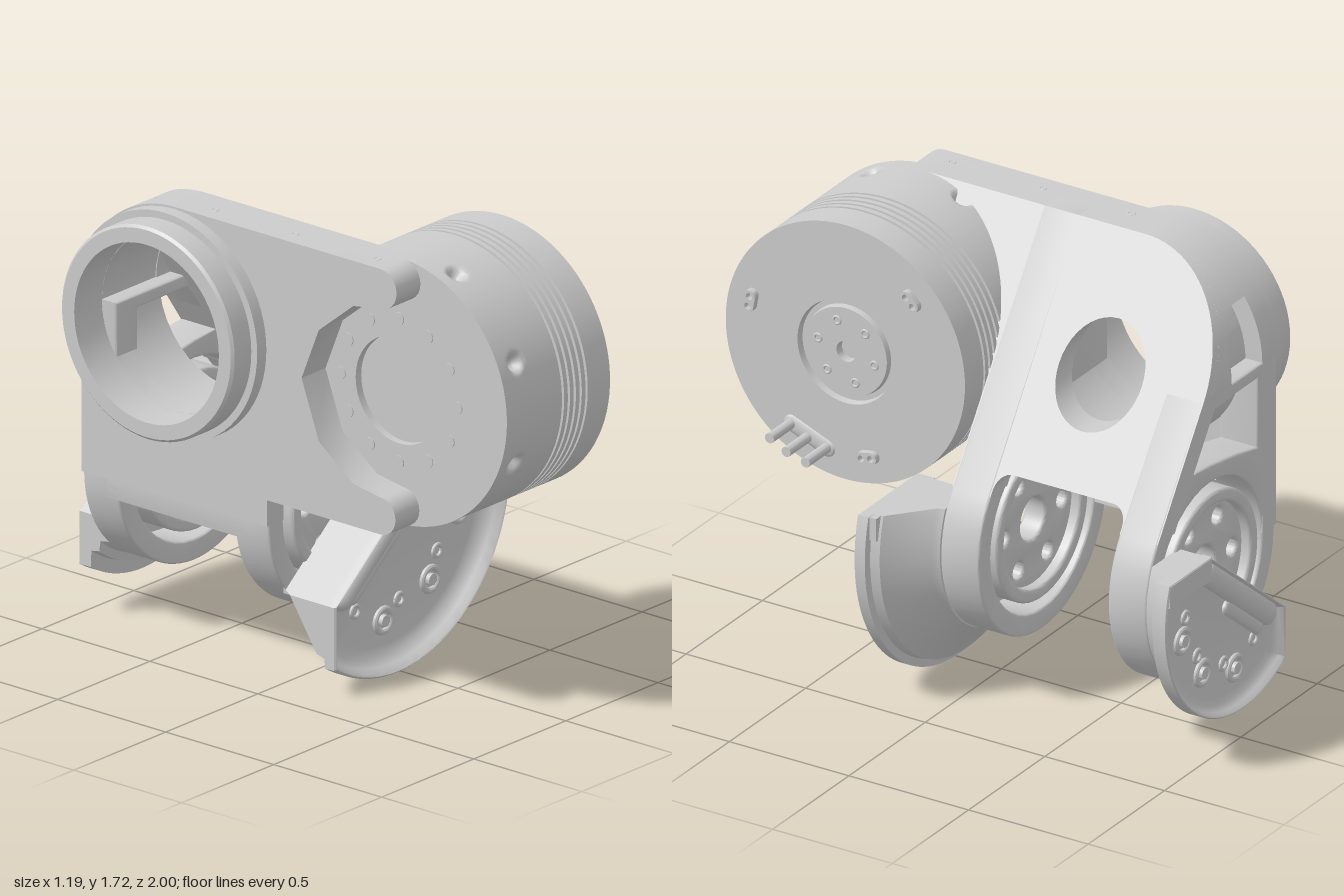
import * as THREE from 'three';
import { toCreasedNormals } from 'three/addons/utils/BufferGeometryUtils.js';

const mat = new THREE.MeshStandardMaterial({ color: 0xcccccc, side: THREE.DoubleSide });
const V = (x, y) => new THREE.Vector2(x, y);
const H = Math.PI / 2;
const HX = -0.02, HY = 0.62, HR = 0.42; // fork eye centre and radius
const DY = 1.22, DZ = 0.5; // drum axis
const BY = 1.285, BZ = -0.43; // bore axis

export function createModel() {
  const root = new THREE.Group();
  function add(name, geo, parent = root, crease = 0.6) {
    const m = new THREE.Mesh(toCreasedNormals(geo, crease), mat);
    m.name = name;
    parent.add(m);
    return m;
  }
  const group = name => {
    const g = new THREE.Group();
    g.name = name;
    root.add(g);
    return g;
  };
  const arc = (cx, cy, r, a0, a1, n = 24) => Array.from({ length: n + 1 }, (_, i) => {
    const a = a0 + (a1 - a0) * i / n;
    return V(cx + r * Math.cos(a), cy + r * Math.sin(a));
  });
  const hole = (shape, cx, cy, r) => shape.holes.push(new THREE.Path(arc(cx, cy, r, 0, Math.PI * 2, 40)));

  // extrusion along z from z0 to z1, with a soft edge
  function frontExtrude(shape, z0, z1, b = 0) {
    const g = new THREE.ExtrudeGeometry(shape, {
      depth: z1 - z0 - 2 * b, bevelEnabled: b > 0, bevelSize: b, bevelThickness: b, bevelOffset: -b, bevelSegments: 3,
    });
    return g.translate(0, 0, z0 + b);
  }
  // extrusion of a (-z, y) outline along x, where xAt(t, y) places both faces
  function sideExtrude(shape, xAt) {
    const g = new THREE.ExtrudeGeometry(shape, { depth: 1, bevelEnabled: false });
    const p = g.attributes.position;
    for (let i = 0; i < p.count; i++) {
      const u = p.getX(i), y = p.getY(i), t = p.getZ(i);
      p.setXYZ(i, xAt(t, y), y, -u);
    }
    return g;
  }
  const between = (a, b) => t => a + (b - a) * t;
  const slopeX = y => -0.27 + (1.72 - y) * 0.69;
  // lathe about the x axis, points are [radius, x]
  const xLathe = (points, seg) => new THREE.LatheGeometry(points.map(([r, x]) => V(r, x)), seg).rotateZ(-H);
  const xCyl = (r, x0, x1, y, z, n = 20) => new THREE.CylinderGeometry(r, r, x1 - x0, n).rotateZ(H).translate((x0 + x1) / 2, y, z);

  // --- motor drum with cooling grooves and eight conical dimples in the rim
  const drum = group('motorDrum');
  const prof = [[0, -0.29], [0.2, -0.29], [0.2, -0.32], [0.5, -0.32]];
  for (let x = -0.285; x < -0.17; x += 0.008) prof.push([0.5, x]);
  for (let i = 0; i < 5; i++) {
    const x = -0.015 + i * 0.032;
    prof.push([0.5, x - 0.006], [0.475, x - 0.005], [0.475, x + 0.005], [0.5, x + 0.006]);
  }
  prof.push([0.5, 0.24], [0.2, 0.24], [0.195, 0.215], [0.175, 0.215], [0.17, 0.235], [0.04, 0.235], [0.04, 0.2], [0, 0.2]);
  const drumGeo = xLathe(prof, 320), dp = drumGeo.attributes.position;
  for (let i = 0; i < dp.count; i++) {
    const x = dp.getX(i), y = dp.getY(i), z = dp.getZ(i);
    if (Math.hypot(y, z) < 0.499) continue;
    const a = Math.atan2(z, y) / (H / 2), off = (a - Math.floor(a) - 0.5) * H / 4;
    const d = Math.hypot(off, x + 0.23);
    const k = 1 - 0.08 * THREE.MathUtils.smoothstep(0.045 - d, 0, 0.035);
    dp.setXYZ(i, x, y * k, z * k);
  }
  add('drumBody', drumGeo.translate(0, DY, DZ), drum, 0.95);
  for (let i = 0; i < 6; i++) {
    const a = i * Math.PI / 3 + 0.2;
    add('hubScrew', new THREE.TorusGeometry(0.014, 0.005, 8, 16).rotateY(H)
      .translate(0.235, DY + 0.12 * Math.sin(a), DZ + 0.12 * Math.cos(a)), drum);
  }
  // bolts on the rear face
  for (let i = 0; i < 12; i++) {
    const a = i * Math.PI / 6;
    add('rearBolt', xCyl(0.024, -0.324, -0.31, DY + 0.27 * Math.sin(a), DZ + 0.27 * Math.cos(a)), drum);
  }
  // capsule connectors on the outer face
  for (const [z, y, tilt] of [[0.22, 1.5, 0.8], [0.89, 1.325, 1.75], [0.4, 0.835, -0.2]]) {
    const s = new THREE.Shape([...arc(0.02, 0, 0.024, -H, H, 8), ...arc(-0.02, 0, 0.024, H, H * 3, 8)]);
    for (const u of [-0.02, 0.02]) hole(s, u, 0, 0.013);
    const m = add('connector', sideExtrude(s, between(0.23, 0.265)), drum);
    m.position.set(0, y, z);
    m.rotation.x = -tilt;
  }
  // three long pins in a slotted seat
  const seat = add('pinSeat', new THREE.CapsuleGeometry(0.035, 0.16, 6, 16).rotateX(H).scale(0.4, 1, 1), drum);
  seat.position.set(0.235, 0.85, 0.65);
  seat.rotation.x = 0.38;
  for (const [z, y] of [[0.725, 0.88], [0.655, 0.845], [0.575, 0.825]]) add('pin', xCyl(0.019, 0.23, 0.385, y, z), drum);
  seat.rotation.x = -0.38;

  // --- C-shaped bracket behind the drum
  const c = new THREE.Shape([
    V(0.14, 1.72), V(0.14, 0.72), ...arc(-0.525, 0.79, 0.07, -H, -H * 3, 12),
    V(-0.4, 0.88), V(-0.24, 1.0), V(-0.16, 1.22), V(-0.24, 1.42), V(-0.4, 1.55),
    ...arc(-0.525, 1.645, 0.075, -H, -H * 3, 12),
  ]);
  add('drumBracket', sideExtrude(c, between(-0.45, -0.315)));
  for (const z of [-0.3, 0.07, 0.45]) add('bracketScrew', new THREE.TorusGeometry(0.013, 0.004, 8, 16).rotateX(H).translate(-0.38, 1.718, z));

  // --- hollow elbow housing
  const housing = group('housing');
  const R = 0.43, gap = 0.6; // gap is the angle on the round back where the upper window starts
  // roof, and the strut that carries it down the rounded back beside the window
  const roof = new THREE.Shape([V(-0.3, 1.72), ...arc(0.43, 1.29, R, H, gap), ...arc(0.43, 1.29, 0.33, gap, H), V(-0.3, 1.62)]);
  add('roof', sideExtrude(roof, (t, y) => t < 0.5 ? -0.45 : slopeX(y) - 0.04), housing);
  const strut = new THREE.Shape([...arc(0.43, 1.29, R, gap, 0), V(0.86, 1.24), V(0.75, 1.24), ...arc(0.43, 1.29, 0.33, 0, gap)]);
  add('backStrut', sideExtrude(strut, (t, y) => t < 0.5 ? -0.16 : slopeX(y) - 0.04), housing);
  // sloping wall with the round window
  const slope = new THREE.Shape([
    V(-0.48, 1.72), ...arc(0.43, 1.29, R, H, 0), V(0.86, 0.86), V(0.7, 0.86), ...arc(0.64, 0.88, 0.06, 0, H, 8),
    ...arc(0.22, 0.88, 0.06, H, Math.PI, 8), V(0.16, 0.86), V(0, 0.86), V(0, 1.2), V(-0.1, 1.3), V(-0.3, 1.6),
  ]);
  hole(slope, 0.43, 1.29, 0.173);
  add('slopeWall', sideExtrude(slope, (t, y) => slopeX(y) - 0.11 * (1 - t)), housing);
  // inner wall that carries the bore
  const inner = new THREE.Shape([V(0, 1.72), ...arc(0.43, 1.29, R, H, 0), V(0.86, 0.62), V(0, 0.62)]);
  hole(inner, 0.43, BY, 0.335);
  add('innerWall', sideExtrude(inner, between(-0.45, -0.36)), housing);
  // curved web between the two fork arms
  const web = new THREE.Shape([...arc(HX, HY, HR, Math.PI * 0.82, Math.PI * 1.06, 16), ...arc(HX, HY, 0.345, Math.PI * 1.06, Math.PI * 0.82, 16)]);
  add('forkWeb', frontExtrude(web, -0.75, -0.1), housing);
  // bore collar and the tube behind it, trimmed to the slope
  add('boreCollar', xLathe([[0.335, -0.6], [0.39, -0.6], [0.4, -0.59], [0.4, -0.5], [0.427, -0.5], [0.427, -0.44],
    [0.335, -0.44], [0.335, -0.6]], 72).translate(0, BY, BZ), housing, 0.5);
  const tube = new THREE.Shape(arc(-BZ, BY, 0.36, 0, Math.PI * 2, 64));
  hole(tube, -BZ, BY, 0.335);
  add('boreTube', sideExtrude(tube, (t, y) => t < 0.5 ? -0.44 : Math.min(slopeX(y) - 0.05, -0.14)), housing);

  // fork arms: flat above, round eye below
  const arm = top => {
    const s = new THREE.Shape([V(-0.45, top), ...arc(HX, HY, HR, Math.PI, Math.PI * 2 + 0.6, 48), V(slopeX(top), top)]);
    hole(s, HX, HY, 0.34);
    return s;
  };
  const back = arm(1.29);
  back.holes.push(new THREE.Path([V(-0.33, 1.24), V(-0.06, 1.24), V(0.1, 1.04), V(-0.02, 1.03), V(-0.2, 1.0), V(-0.33, 0.97)]));
  add('frontArm', frontExtrude(arm(1.72), -0.16, 0, 0.008), housing);
  add('backArm', frontExtrude(back, -0.86, -0.7, 0.008), housing);

  // --- bearing flanges inside the fork eyes: raised rim around a drilled plate
  for (const [name, z0, z1] of [['frontFlange', -0.16, 0.01], ['backFlange', -0.87, -0.685]]) {
    const g = group(name);
    const plate = new THREE.Shape(arc(HX, HY, 0.27, 0, Math.PI * 2, 48));
    hole(plate, HX, HY, 0.08);
    for (let i = 0; i < 6; i++) hole(plate, HX + 0.19 * Math.cos(i * H / 1.5), HY + 0.19 * Math.sin(i * H / 1.5), 0.032);
    add('plate', frontExtrude(plate, z0 + 0.04, z1 - 0.04, 0.012), g);
    const rim = new THREE.Shape(arc(HX, HY, 0.3, 0, Math.PI * 2, 64));
    hole(rim, HX, HY, 0.25);
    add('rim', frontExtrude(rim, z0, z1, 0.012), g);
  }

  // --- half-round dished covers; dir is the facing along z
  // shell rows are [outline radius factor, height factor] from the rim to the base
  function cover(name, r, xMin, z0, depth, dir, shell) {
    const g = group(name);
    const cutY = HY + (xMin - HX) * 0.81;
    const outline = q => {
      const pts = [...arc(HX, HY, q, Math.PI * 2 - Math.acos((xMin - HX) / q), Math.PI * 2 + Math.asin(0.17 / q), 48), V(0.19, 0.79), V(xMin, cutY)];
      return dir < 0 ? pts.reverse() : pts;
    };
    // rows are [scale toward the pivot, radius factor, height factor]
    const rows = [[0, 1, 0.7], [0.8, 1, 0.7], [0.88, 1, 0.74], [0.94, 1, 0.86], [0.97, 1, 0.98], [0.985, 1, 1],
      ...shell.map(([f, h]) => [1, f, h]), [0, shell.at(-1)[0], 0]];
    const px = 0.08, py = 0.44, n = outline(r).length, pos = [], idx = [];
    rows.forEach(([s, f, h], i) => outline(r * f).forEach((p, j) => {
      pos.push(px + (p.x - px) * s, py + (p.y - py) * s, z0 + dir * h * depth);
      if (i === rows.length - 1) return;
      const a = i * n, k = a + (j + 1) % n;
      if (i > 0) idx.push(a + j, a + n + j, k);
      if (i < rows.length - 2) idx.push(k, a + n + j, k + n);
    }));
    const geo = new THREE.BufferGeometry();
    geo.setAttribute('position', new THREE.Float32BufferAttribute(pos, 3));
    geo.setIndex(idx);
    add('dish', geo, g);
    // diagonal rib along the cut edge, with a raised bead beside it
    const len = Math.hypot(0.17 - xMin, 0.77 - cutY), ang = Math.atan(0.81);
    const rib = (nm, w, h, l, along, off, z) => {
      const b = add(nm, new THREE.CapsuleGeometry(w / 2, l, 6, 16).scale(1, 1, h / w).rotateZ(-H), g);
      b.rotation.z = ang;
      b.position.set((0.19 + xMin) / 2 + along * Math.cos(ang) + off * Math.sin(ang),
        (0.79 + cutY) / 2 + along * Math.sin(ang) - off * Math.cos(ang), z0 + dir * z);
    };
    rib('edgeRib', 0.09, depth * 0.4, len - 0.1, 0, 0.05, depth * 0.79);
    rib('edgeBead', 0.06, depth * 0.2, len * 0.42, -0.1, 0.11, depth * 0.76);
    const tabEnd = HX + Math.sqrt(r * r - 0.17 * 0.17) - 0.005;
    add('topTab', new THREE.BoxGeometry(tabEnd - 0.18, 0.09, depth * 0.28).translate((tabEnd + 0.18) / 2, 0.744, z0 + dir * depth * 0.82), g);
    // bolt cups and small sockets around the arc
    const k = r / 0.61, zf = z0 + dir * depth * 0.71;
    const place = (nm, deg, d, make) => {
      const a = -deg * Math.PI / 180;
      add(nm, make.translate(HX + d * k * Math.cos(a), HY + d * k * Math.sin(a), zf), g);
    };
    for (let i = 0; i < 4; i++) {
      place('socket', 5 + 36 * i, 0.385, new THREE.TorusGeometry(0.022, 0.008, 10, 24));
      if (i === 3) continue;
      place('boltCup', 18 + 36 * i, 0.43, new THREE.TorusGeometry(0.043, 0.012, 10, 24));
      place('bolt', 18 + 36 * i, 0.43, new THREE.CylinderGeometry(0.022, 0.022, 0.03, 16).rotateX(H));
    }
  }
  cover('frontCover', 0.615, -0.36, 0, 0.24, 1, [[1, 0.97], [1, 0.8], [0.95, 0.79], [0.94, 0.64], [0.71, 0.12], [0.69, 0]]);
  cover('backCover', 0.51, -0.3, -0.86, 0.14, -1, [[1, 0.97], [1, 0.6], [0.9, 0.58], [0.89, 0.32], [0.83, 0.28], [0.82, 0]]);
  return root;
}
